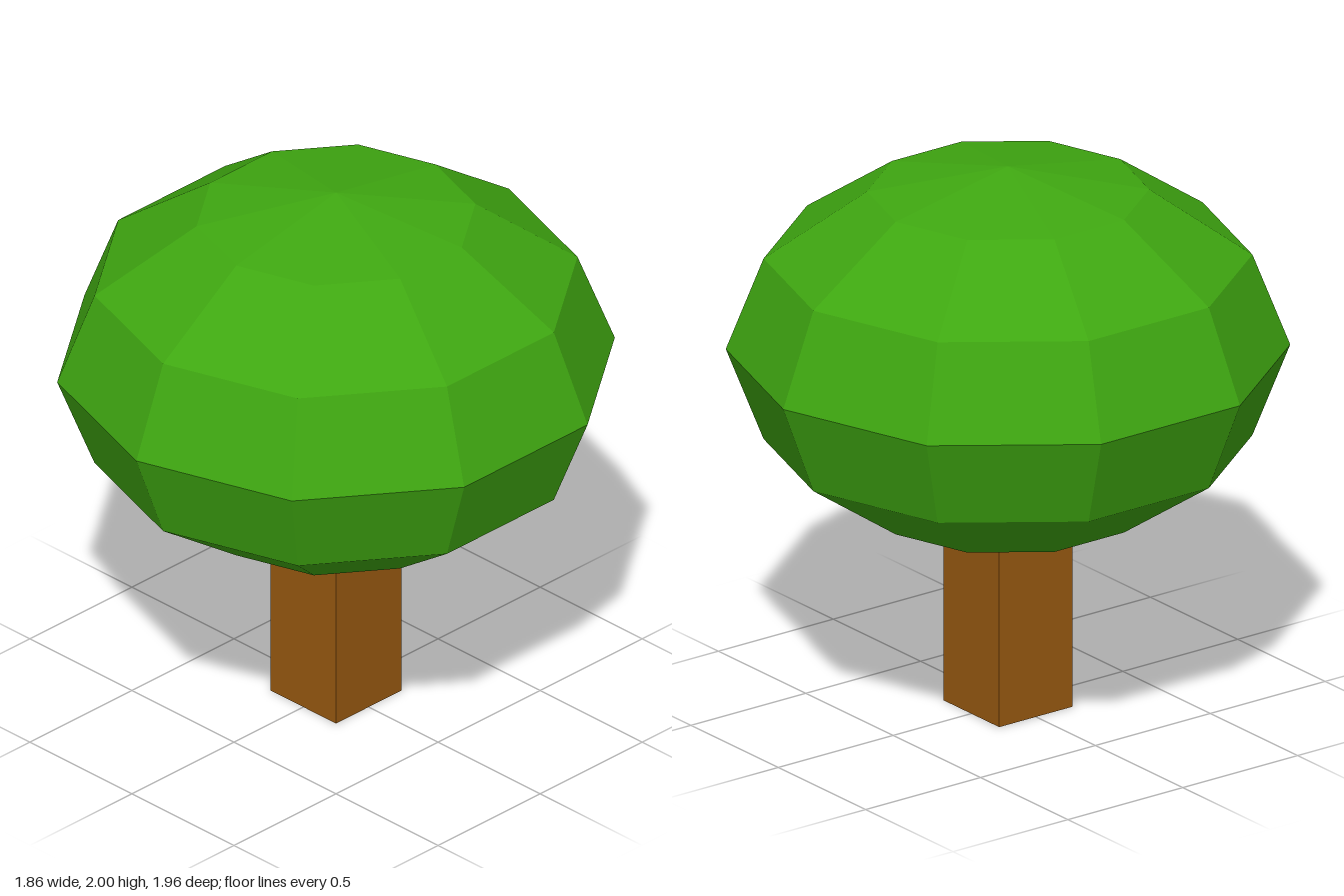
import * as THREE from 'three';

export function createModel() {
  const tree = new THREE.Group();
  tree.name = 'tree';

  const leafGreen = new THREE.MeshStandardMaterial({ color: 0x3fa711, flatShading: true });
  leafGreen.name = 'leafGreen';
  const barkBrown = new THREE.MeshStandardMaterial({ color: 0x965810, flatShading: true });
  barkBrown.name = 'barkBrown';

  // Square trunk, running up into the crown
  const trunkHeight = 0.9;
  const trunk = new THREE.Mesh(new THREE.BoxGeometry(0.32, trunkHeight, 0.32), barkBrown);
  trunk.name = 'trunk';
  trunk.position.y = trunkHeight / 2;

  // Ten-sided flattened crown, with a corner facing the front
  const crownGeometry = new THREE.SphereGeometry(1, 10, 6, Math.PI / 2);
  crownGeometry.scale(0.978, 0.672, 0.978);
  const crown = new THREE.Mesh(crownGeometry, leafGreen);
  crown.name = 'crown';
  crown.position.y = 1.328;

  tree.add(trunk, crown);
  return tree;
}
